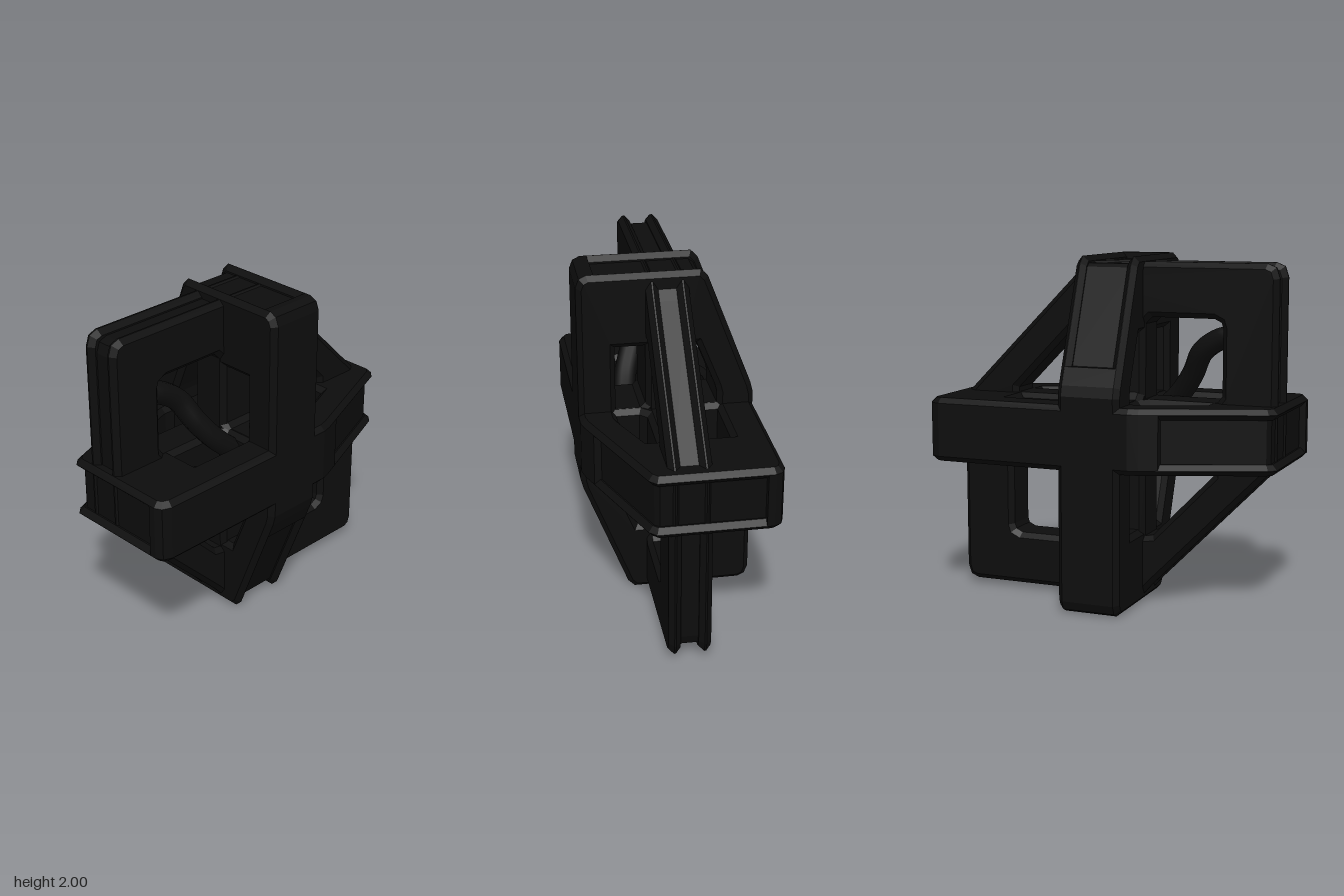
import * as THREE from 'three';

const P = (pts) => pts.map(([x, y]) => new THREE.Vector2(x, y));
const turn = (pts) => pts.map(([x, y]) => [-x, -y]);
// Every plate outline repeats itself after a half turn
const full = (half) => [...half, ...turn(half)];

function makeShape(outline, holes) {
  const shape = new THREE.Shape(P(outline));
  for (const h of [...holes, ...holes.map(turn)]) shape.holes.push(new THREE.Path(P(h)));
  return shape;
}

// Plate = recessed core between two chamfered flanges
function plate(name, material, outline, core, holes, thick, flange) {
  const group = new THREE.Group();
  group.name = name;
  const b = 0.03;
  const coreDepth = thick - 2 * b;
  const coreGeo = new THREE.ExtrudeGeometry(makeShape(core, holes), { depth: coreDepth, bevelEnabled: false });
  coreGeo.translate(0, 0, -coreDepth / 2);
  const coreMesh = new THREE.Mesh(coreGeo, material);
  coreMesh.name = name + 'Core';
  group.add(coreMesh);
  for (const s of [-1, 1]) {
    const depth = Math.max(flange - 2 * b, 0.002);
    const geo = new THREE.ExtrudeGeometry(makeShape(outline, holes), {
      depth, bevelEnabled: true, bevelThickness: b, bevelSize: b, bevelOffset: -b, bevelSegments: 1,
    });
    geo.translate(0, 0, -depth / 2 + s * (thick / 2 - b - depth / 2));
    const mesh = new THREE.Mesh(geo, material);
    mesh.name = name + 'Flange';
    group.add(mesh);
  }
  return group;
}

export function createModel() {
  const model = new THREE.Group();
  model.name = 'interlockedFrame';
  const black = new THREE.MeshStandardMaterial({ color: 0x0d0d0d });
  black.name = 'black';

  // Upright plate facing the front
  const wallOutline = full([
    [0.97, 0.15], [0.24, 0.89], [0.17, 0.97], [-0.9, 0.97], [-0.95, 0.95], [-0.97, 0.89],
  ]);
  const wallHoles = [
    [[-0.19, 0.19], [-0.19, 0.62], [-0.23, 0.66], [-0.6, 0.66], [-0.64, 0.64], [-0.65, 0.61], [-0.65, 0.23], [-0.62, 0.19]],
    [[0.19, 0.19], [0.61, 0.19], [0.61, 0.22], [0.24, 0.6], [0.19, 0.61]],
  ];
  const wallCore = wallOutline.map(([x, y]) => [x * 0.96, y * 0.96]);
  const wall = plate('frontPlate', black, wallOutline, wallCore, wallHoles, 0.24, 0.07);
  wall.position.y = 1;
  model.add(wall);

  // Flat plate and fore-and-aft plate share one outline, with a groove along each slanted end
  const outline = full([
    [1, 0.44], [0.98, 0.48], [0.93, 0.5], [-0.24, 0.5], [-0.3, 0.485], [-0.96, 0.23], [-1, 0.19],
  ]);
  const core = full([
    [1, 0.4], [1, 0.44], [0.98, 0.48], [0.93, 0.5], [-0.24, 0.5], [-0.3, 0.485],
    [-0.4, 0.446], [-0.4, 0.405], [-0.94, 0.197], [-0.96, 0.17], [-0.96, -0.4],
  ]);
  const holes = [
    [[0.19, 0.15], [0.22, 0.12], [0.57, 0.12], [0.57, 0.29], [0.19, 0.29]],
    [[-0.19, 0.16], [-0.23, 0.12], [-0.57, 0.12], [-0.57, 0.17], [-0.3, 0.28], [-0.26, 0.29], [-0.19, 0.29]],
  ];
  const level = plate('levelPlate', black, outline, core, holes, 0.37, 0.06);
  level.rotation.x = -Math.PI / 2;
  level.position.y = 1.004;
  model.add(level);

  const side = plate('sidePlate', black, outline, core, holes, 0.37, 0.06);
  const axes = new THREE.Matrix4().makeBasis(
    new THREE.Vector3(0, 1, 0), new THREE.Vector3(0, 0, 1), new THREE.Vector3(1, 0, 0));
  side.quaternion.setFromRotationMatrix(axes);
  side.position.y = 1;
  model.add(side);

  // Cables threaded through the openings
  const cable = (name, pts, r) => {
    const curve = new THREE.CatmullRomCurve3(pts.map((p) => new THREE.Vector3(...p)));
    const mesh = new THREE.Mesh(new THREE.TubeGeometry(curve, 28, r, 10), black);
    mesh.name = name;
    model.add(mesh);
  };
  cable('upperCable', [[-0.72, 1.56, 0.03], [-0.6, 1.54, 0.04], [-0.48, 1.46, 0.06], [-0.4, 1.32, 0.12], [-0.3, 1.19, 0.17], [-0.14, 1.05, 0.2]], 0.065);
  cable('frontCable', [[-0.5, 1, 0.05], [-0.42, 1, 0.15], [-0.28, 1, 0.23], [0, 1, 0.27], [0.28, 1, 0.22], [0.42, 1, 0.14], [0.49, 1, 0.05]], 0.045);
  cable('lowerCable', [[0, 1, 0.28], [0, 0.8, 0.275], [0, 0.62, 0.23], [0, 0.5, 0.17], [0, 0.43, 0.08]], 0.04);
  cable('backCable', [[0.49, 1, 0.05], [0.49, 1, -0.12], [0.47, 1, -0.22], [0.47, 1, -0.34]], 0.055);

  return model;
}
